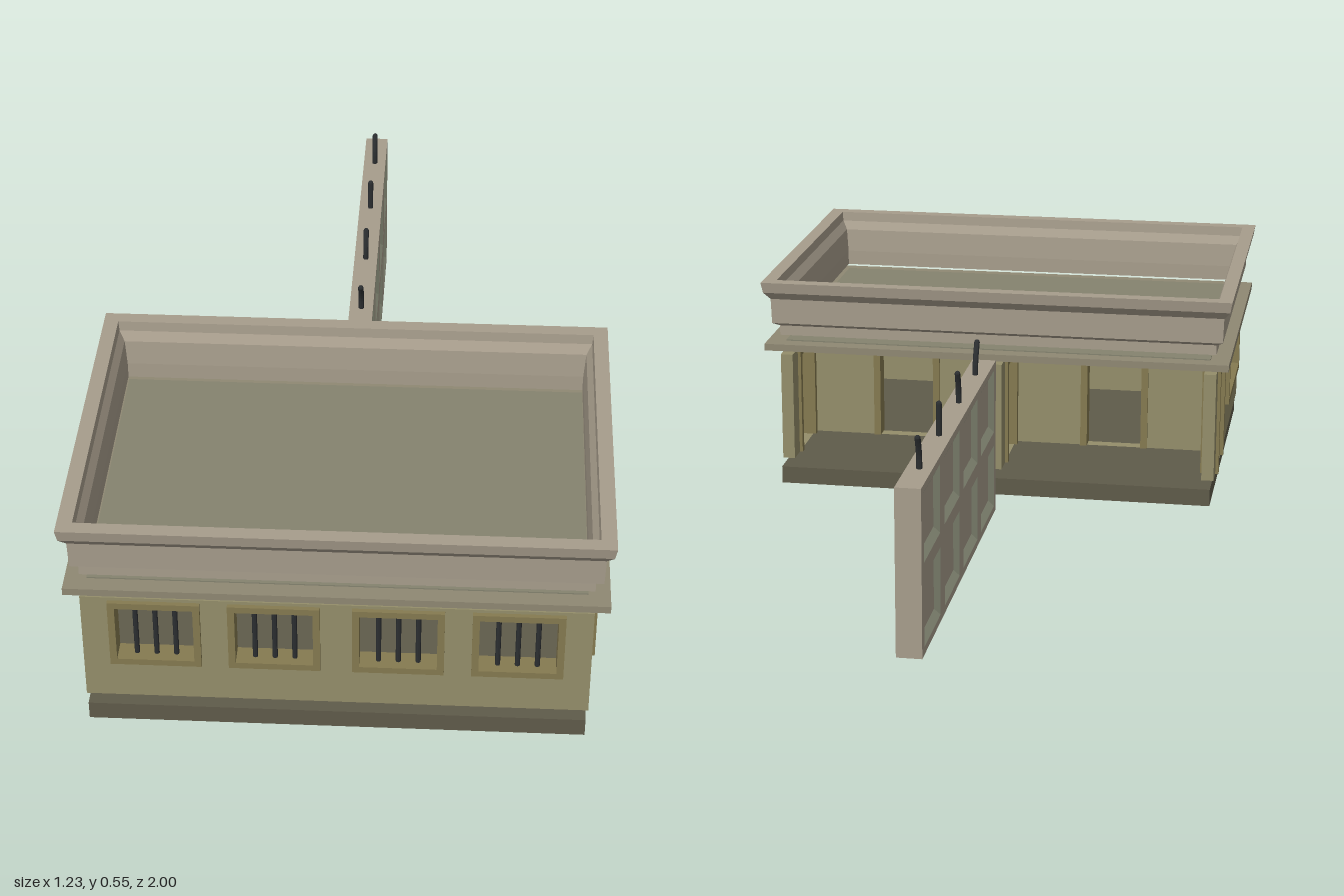
import * as THREE from 'three';

const mat = (color, side = THREE.FrontSide) => new THREE.MeshStandardMaterial({ color, flatShading: true, side });
const WALL = mat(0x948e6a), TRIM = mat(0x857a50), STONE = mat(0xa79d8c), BASE = mat(0x5f5b4a);
const ROOF = mat(0x85836f), IRON = mat(0x2b2e30), BEVEL = mat(0x969a84), LEDGE = mat(0x8f8873);

function add(parent, name, geometry, material, x = 0, y = 0, z = 0) {
  const mesh = new THREE.Mesh(geometry, material);
  mesh.name = name;
  mesh.position.set(x, y, z);
  parent.add(mesh);
  return mesh;
}

const box = (w, h, d) => new THREE.BoxGeometry(w, h, d);

// Upright plate with rectangular openings; rects are [u0, u1, y0, y1]
function plate(rect, holes, thickness) {
  const trace = (p, [u0, u1, v0, v1]) => {
    p.moveTo(u0, v0);
    p.lineTo(u1, v0);
    p.lineTo(u1, v1);
    p.lineTo(u0, v1);
    p.closePath();
    return p;
  };
  const shape = trace(new THREE.Shape(), rect);
  holes.forEach((h) => shape.holes.push(trace(new THREE.Path(), h)));
  const g = new THREE.ExtrudeGeometry(shape, { depth: thickness, bevelEnabled: false });
  return g.translate(0, 0, -thickness / 2);
}

// Rectangular loops [halfX, halfZ, y] joined by quads
function rectLoft(sections) {
  const corners = [[-1, 1], [1, 1], [1, -1], [-1, -1]];
  const pos = [];
  for (let i = 0; i < sections.length - 1; i++) {
    for (let c = 0; c < 4; c++) {
      const at = (s, k) => [s[0] * corners[k % 4][0], s[2], s[1] * corners[k % 4][1]];
      const a = at(sections[i], c), b = at(sections[i], c + 1);
      const d = at(sections[i + 1], c), e = at(sections[i + 1], c + 1);
      pos.push(...a, ...b, ...e, ...a, ...e, ...d);
    }
  }
  const g = new THREE.BufferGeometry();
  g.setAttribute('position', new THREE.Float32BufferAttribute(pos, 3));
  g.computeVertexNormals();
  return g;
}

// Wall running along u with framed doors and barred windows
function wall(name, rect, windows, doors) {
  const group = new THREE.Group();
  group.name = name;
  add(group, 'wallPlate', plate(rect, [...windows, ...doors], 0.032), WALL);
  const f = 0.014;
  for (const [u0, u1, v0, v1] of windows) {
    const inner = [u0 + 0.002, u1 - 0.002, v0 + 0.002, v1 - 0.002];
    add(group, 'windowFrame', plate([u0 - f, u1 + f, v0 - f, v1 + f], [inner], 0.054), TRIM);
    for (let i = 1; i <= 3; i++) {
      const rod = new THREE.CylinderGeometry(0.006, 0.006, v1 - v0, 8);
      add(group, 'windowBar', rod, IRON, u0 + ((u1 - u0) * i) / 4, (v0 + v1) / 2, 0);
    }
  }
  for (const [u0, u1, v0, v1] of doors) {
    for (const u of [u0 - f / 2, u1 + f / 2]) {
      add(group, 'doorJamb', box(f + 0.004, v1 - v0 + f, 0.048), TRIM, u, (v0 + v1 + f) / 2, 0);
    }
    add(group, 'doorLintel', box(u1 - u0, f, 0.048), TRIM, (u0 + u1) / 2, v1 + f / 2, 0);
  }
  return group;
}

function createBuilding() {
  const g = new THREE.Group();
  g.name = 'building';
  const zc = 0.567, y0 = 0.057, y1 = 0.345;
  add(g, 'baseSlab', box(1.14, 0.045, 0.85), BASE, 0, 0.0225, zc);

  // Front wall with four windows
  const win = (c, half) => [c - half, c + half, 0.172, 0.323];
  const front = wall('frontWall', [-0.548, 0.548, y0, y1], [-0.41, -0.14, 0.14, 0.41].map((c) => win(c, 0.09)), []);
  front.position.z = 0.956;
  g.add(front);

  // Side walls and the dividing wall, all with a door near the back
  for (const x of [-0.56, 0, 0.56]) {
    const windows = x ? [win(0.713, 0.17)] : [];
    const side = wall(x ? 'sideWall' : 'dividingWall', [0.18, x ? 0.972 : 0.945, y0, y1], windows, [[0.253, 0.397, y0, 0.325]]);
    side.rotation.y = -Math.PI / 2;
    side.position.x = x;
    g.add(side);
  }

  // Inner wall of each room
  for (const s of [-1, 1]) {
    const door = s < 0 ? [-0.36, -0.21, y0, 0.325] : [0.21, 0.36, y0, 0.325];
    const room = wall('roomWall', s < 0 ? [-0.545, -0.016, y0, y1] : [0.016, 0.545, y0, y1], [], [door]);
    room.position.z = 0.44;
    g.add(room);
  }

  // Roof plate and moulded parapet
  add(g, 'roofLedge', box(1.22, 0.018, 0.85), LEDGE, 0, 0.374, zc);
  add(g, 'roofSurface', box(1.12, 0.004, 0.77), ROOF, 0, 0.384, zc);
  const profile = [
    [0.575, 0.4], [0.575, 0.426], [0.592, 0.436], [0.594, 0.502], [0.61, 0.522], [0.615, 0.55],
    [0.58, 0.55], [0.578, 0.525], [0.565, 0.502], [0.56, 0.44], [0.56, 0.4], [0.575, 0.4],
  ];
  add(g, 'parapet', rectLoft(profile.map(([h, y]) => [h, h - 0.183, y])), STONE, 0, 0, 0.568);
  return g;
}

function createPanelWall() {
  const g = new THREE.Group();
  g.name = 'panelWall';
  const cells = [];
  for (let i = 0; i < 4; i++) for (const y of [0.11, 0.31]) cells.push([-0.125 - 0.25 * i, y]);
  const hz = 0.098, hy = 0.082;
  add(g, 'panelCore', box(0.036, 0.4, 1), STONE, 0, 0.21, -0.5);

  // Raised grid with sloped edges around each sunken panel, on both faces
  const holes = cells.map(([z, y]) => [z - hz, z + hz, y - hy, y + hy]);
  for (const s of [-1, 1]) {
    const grid = plate([-1, 0, 0.01, 0.41], holes, 0.012);
    add(g, 'panelGrid', grid.rotateY(-Math.PI / 2), STONE, s * 0.024, 0, 0);
    for (const [z, y] of cells) {
      const bevel = rectLoft([[hy, hz, 0.012], [hy - 0.022, hz - 0.022, 0.0005]]);
      add(g, 'panelBevel', bevel, BEVEL, s * 0.018, y, z).rotation.z = (-s * Math.PI) / 2;
    }
  }

  // Bent iron rods along the top: base z and top z
  for (const [a, b] of [[-0.132, -0.106], [-0.367, -0.382], [-0.625, -0.625], [-0.865, -0.882]]) {
    const curve = new THREE.CatmullRomCurve3([
      new THREE.Vector3(0, 0.4, a),
      new THREE.Vector3(0, 0.44, a + (b - a) * 0.1),
      new THREE.Vector3(0, 0.466, a + (b - a) * 0.5),
      new THREE.Vector3(0, 0.487, b),
    ]);
    add(g, 'ironRod', new THREE.TubeGeometry(curve, 8, 0.007, 8), IRON);
    add(g, 'ironRodTip', new THREE.SphereGeometry(0.007, 8, 6), IRON, 0, 0.487, b);
  }
  return g;
}

export function createModel() {
  const model = new THREE.Group();
  model.name = 'buildingWithPanelWall';
  model.add(createBuilding(), createPanelWall());
  return model;
}
